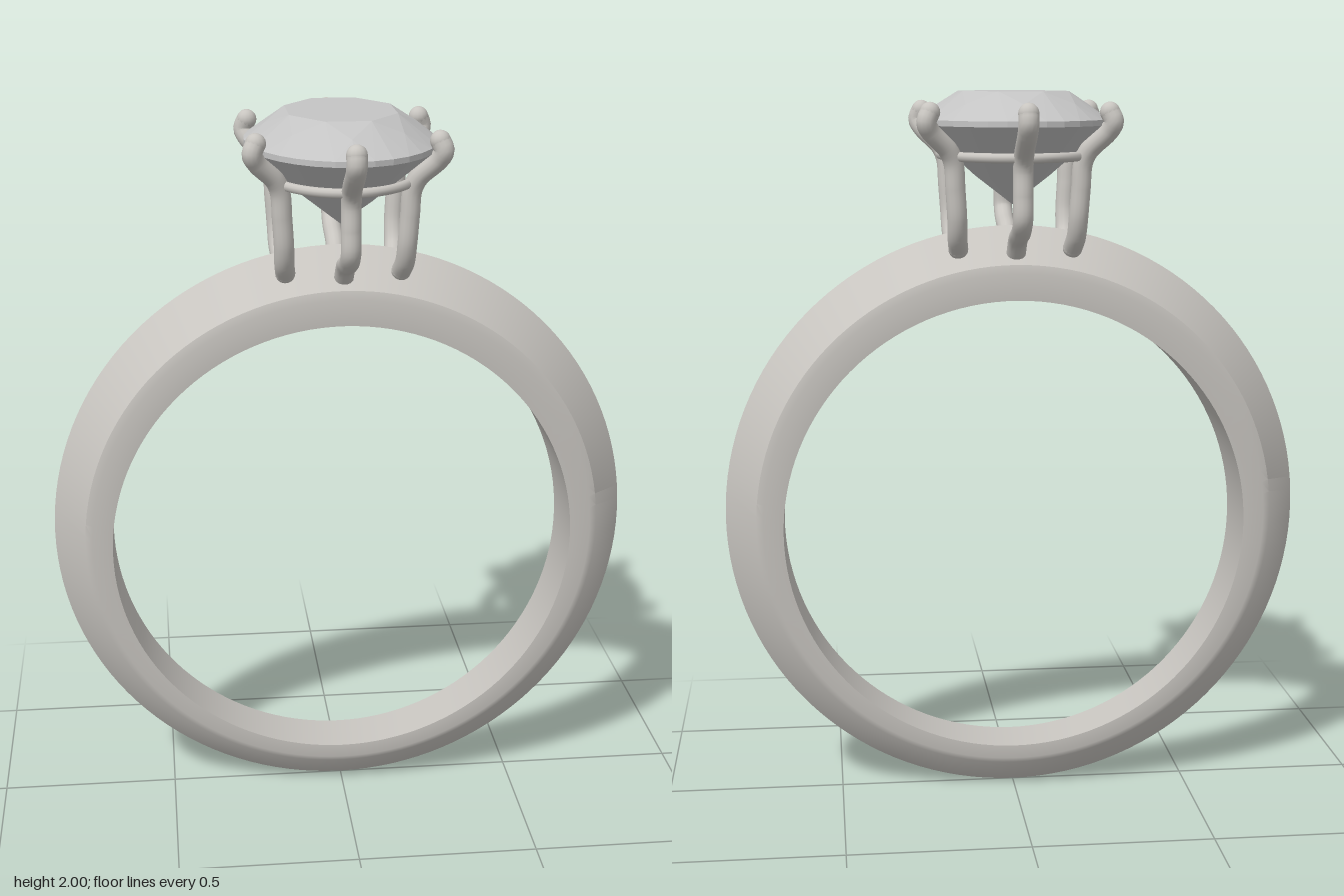
import * as THREE from 'three';
import { toCreasedNormals } from 'three/addons/utils/BufferGeometryUtils.js';
import { ConvexGeometry } from 'three/addons/geometries/ConvexGeometry.js';

const metal = new THREE.MeshStandardMaterial({ color: 0xc8c5c0 });
metal.name = 'metal';
const crystal = new THREE.MeshStandardMaterial({ color: 0xc4c4c4 });
crystal.name = 'crystal';

function addMesh(parent, name, geometry, material) {
  const mesh = new THREE.Mesh(geometry, material);
  mesh.name = name;
  parent.add(mesh);
  return mesh;
}

// Knife-edge band: each section point follows its own circle; width grows with height
function bandGeometry() {
  // [radius, centre height, share of the half width]
  const section = [
    [0.815, 0.818, 0], [0.727, 0.808, 0.95], [0.708, 0.803, 1], [0.652, 0.785, 0.98],
    [0.652, 0.785, -0.98], [0.708, 0.803, -1], [0.727, 0.808, -0.95],
  ];
  const steps = 128, n = section.length;
  const positions = [], index = [];
  for (let i = 0; i < steps; i++) {
    const a = (i / steps) * Math.PI * 2;
    for (const [r, cy, share] of section) {
      const y = cy + r * Math.cos(a);
      const halfWidth = 0.077 + 0.063 * (y - 0.08) / 1.45;
      positions.push(r * Math.sin(a), y, share * halfWidth);
    }
  }
  for (let i = 0; i < steps; i++) {
    for (let j = 0; j < n; j++) {
      const i2 = (i + 1) % steps, j2 = (j + 1) % n;
      const a = i * n + j, b = i * n + j2, c = i2 * n + j2, d = i2 * n + j;
      index.push(a, b, d, b, c, d);
    }
  }
  const g = new THREE.BufferGeometry();
  g.setAttribute('position', new THREE.Float32BufferAttribute(positions, 3));
  g.setIndex(index);
  return toCreasedNormals(g, 0.6);
}

// Oval brilliant: the hull of the facet corners
function gemGeometry() {
  const points = [new THREE.Vector3(0, 1.69, 0)];
  const oval = (count, offset, scale, y) => {
    for (let i = 0; i < count; i++) {
      const a = ((i + offset) / count) * Math.PI * 2;
      points.push(new THREE.Vector3(0.26 * scale * Math.cos(a), y, 0.362 * scale * Math.sin(a)));
    }
  };
  oval(8, 0.5, 0.6, 2.0);    // table
  oval(8, 0, 0.79, 1.967);   // crown
  oval(32, 0, 1, 1.925);     // girdle, upper edge
  oval(32, 0, 1, 1.91);      // girdle, lower edge
  oval(8, 0, 0.4, 1.77);     // pavilion
  return new ConvexGeometry(points);
}

// Bent wire claw with rounded ends
function addProng(parent, name, points) {
  const prong = new THREE.Group();
  prong.name = name;
  const path = points.map((p) => new THREE.Vector3(...p));
  const curve = new THREE.CatmullRomCurve3(path, false, 'centripetal');
  addMesh(prong, 'wire', new THREE.TubeGeometry(curve, 48, 0.027, 14), metal);
  for (const end of [path[0], path[path.length - 1]]) {
    addMesh(prong, 'roundedEnd', new THREE.SphereGeometry(0.0275, 14, 10), metal).position.copy(end);
  }
  parent.add(prong);
}

export function createModel() {
  const ring = new THREE.Group();
  ring.name = 'ring';
  addMesh(ring, 'band', bandGeometry(), metal);
  addMesh(ring, 'ovalGem', gemGeometry(), crystal);

  const setting = new THREE.Group();
  setting.name = 'setting';
  ring.add(setting);

  // Oval rail under the gem
  const railPoints = [];
  for (let i = 0; i < 32; i++) {
    const a = (i / 32) * Math.PI * 2;
    railPoints.push(new THREE.Vector3(0.2 * Math.cos(a), 1.828, 0.275 * Math.sin(a)));
  }
  const railCurve = new THREE.CatmullRomCurve3(railPoints, true);
  addMesh(setting, 'rail', new THREE.TubeGeometry(railCurve, 96, 0.013, 10, true), metal);

  for (const s of [1, -1]) {
    // Claws at the long ends
    addProng(setting, s > 0 ? 'frontProng' : 'backProng', [
      [0, 1.555, 0.085 * s], [0, 1.605, 0.14 * s], [0, 1.632, 0.22 * s], [0, 1.665, 0.262 * s],
      [0, 1.73, 0.265 * s], [0, 1.8, 0.265 * s], [0, 1.838, 0.285 * s],
      [0, 1.895, 0.37 * s], [0, 1.92, 0.392 * s], [0, 1.946, 0.387 * s],
    ]);
    // Claws along the sides
    for (const m of [1, -1]) {
      addProng(setting, m > 0 ? 'leftProng' : 'rightProng', [
        [0.158 * m, 1.575, 0.08 * s], [0.163 * m, 1.61, 0.117 * s], [0.165 * m, 1.66, 0.139 * s],
        [0.17 * m, 1.74, 0.147 * s], [0.175 * m, 1.81, 0.152 * s], [0.19 * m, 1.845, 0.162 * s],
        [0.238 * m, 1.895, 0.189 * s], [0.25 * m, 1.92, 0.202 * s], [0.24 * m, 1.946, 0.196 * s],
      ]);
    }
  }
  return ring;
}
